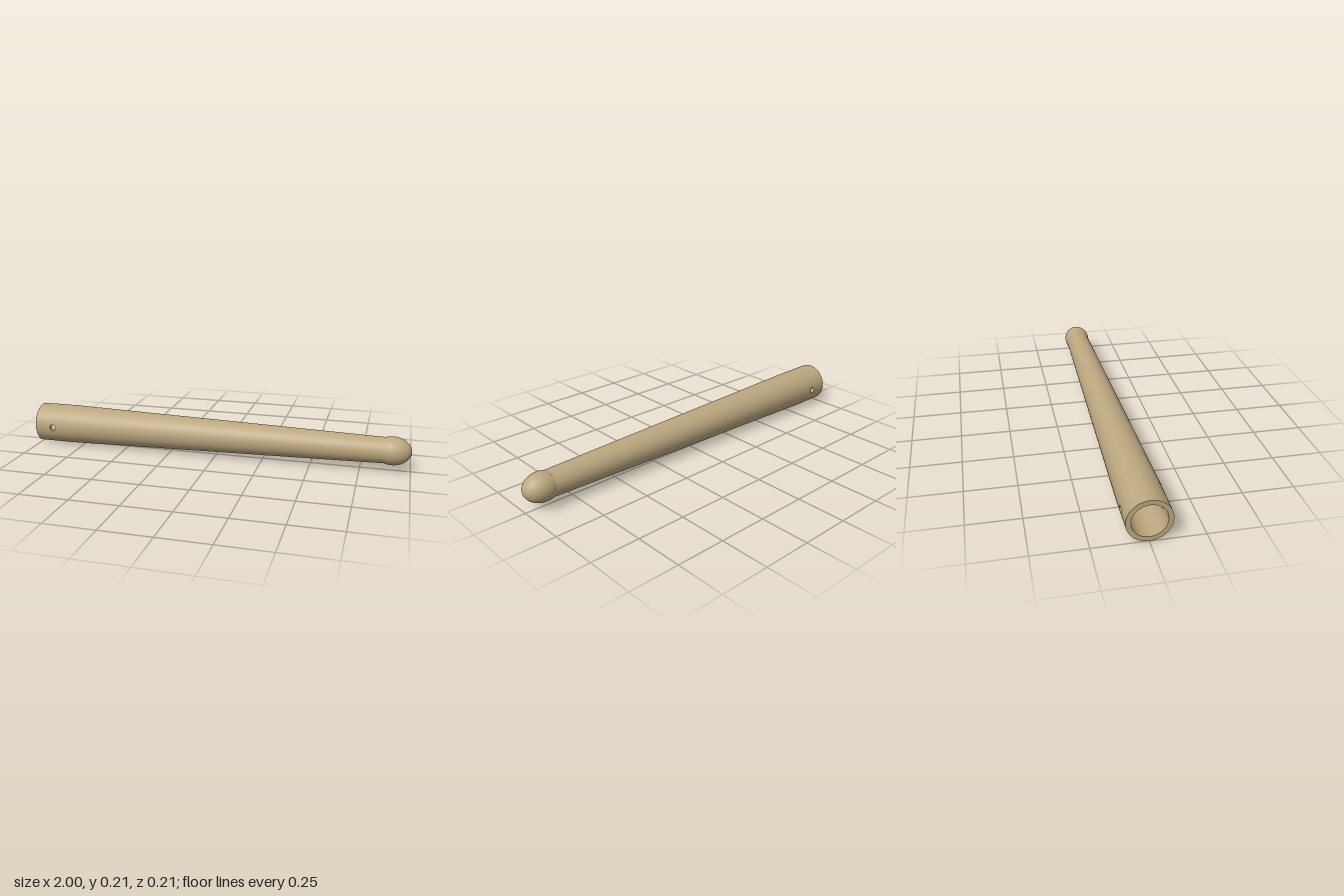
import * as THREE from 'three';

const R = 0.103, BORE = 0.08, HOLE = 0.017;   // collar, bore and cross-hole radii
const COLLAR_X = -0.9, COLLAR_HALF = 0.1;     // collar centre and half length
const SIDE = 24;                              // points per side of a collar patch

export function createModel() {
  const model = new THREE.Group();
  const body = new THREE.Group();
  body.name = 'handle';
  body.position.y = R;
  model.add(body);
  const wood = new THREE.MeshStandardMaterial({ color: 0xbca77f });
  wood.name = 'tan';

  const add = (name, geometry) => {
    const mesh = new THREE.Mesh(geometry, wood);
    mesh.name = name;
    body.add(mesh);
  };

  // Profile of [x, radius] points turned around the x axis
  const turn = (name, points) => {
    const g = new THREE.LatheGeometry(points.map(([x, r]) => new THREE.Vector2(r, x)), SIDE * 2);
    add(name, g.rotateZ(-Math.PI / 2));
  };

  // Long tapered shaft
  turn('shaft', [[-0.8, R], [-0.4, 0.094], [0, 0.0855], [0.4, 0.0765], [0.866, 0.0658]]);

  // Rounded knob at the tip
  const knob = [];
  for (let i = 0; i <= 24; i++) {
    const a = THREE.MathUtils.lerp(Math.asin(-0.039 / 0.095), Math.PI / 2, i / 24);
    knob.push([0.905 + 0.095 * Math.sin(a), i === 24 ? 0 : 0.072 * Math.cos(a)]);
  }
  turn('knob', knob);

  // Open socket end: rim and floor of the bore
  turn('socketRim', [[-1, BORE], [-1, R]]);
  turn('socketFloor', [[-0.8, 0], [-0.8, BORE]]);

  // Collar wall, one half per cross hole
  for (const turnY of [0, Math.PI]) {
    const end = turnY ? 'Back' : 'Front';
    const place = (g) => g.rotateY(turnY).translate(COLLAR_X, 0, 0);
    add('collar' + end, place(wallPatch(R, false)));
    add('bore' + end, place(wallPatch(BORE, true)));
    add('crossHole' + end, place(holeWall()));
  }
  return model;
}

// Point k around the patch: on the unit circle and on the unit square
function around(k) {
  const side = Math.floor(k / SIDE) % 4, t = (k % SIDE) / SIDE;
  const a = -Math.PI / 4 + (k / SIDE) * Math.PI / 2;
  const s = 2 * t - 1;
  const square = [[1, s], [-s, 1], [-1, -s], [s, -1]][side];
  return { circle: [Math.cos(a), Math.sin(a)], square };
}

// Half cylinder with a round hole, in rings from the border to the hole
function wallPatch(radius, inward) {
  const rings = 16;
  return grid(rings, (i, k) => {
    const { circle, square } = around(k);
    const f = i / rings;
    const x = THREE.MathUtils.lerp(square[0] * COLLAR_HALF, circle[0] * HOLE, f);
    const a = THREE.MathUtils.lerp(square[1] * Math.PI / 2, Math.asin(circle[1] * HOLE / radius), f);
    const s = inward ? -1 : 1;
    return [[x, radius * Math.sin(a), radius * Math.cos(a)], [0, s * Math.sin(a), s * Math.cos(a)]];
  }, inward);
}

// Straight wall of a cross hole, from the outer surface to the bore
function holeWall() {
  return grid(1, (i, k) => {
    const [c, s] = around(k).circle;
    const r = i ? BORE : R, y = s * HOLE;
    return [[c * HOLE, y, Math.sqrt(r * r - y * y)], [-c, -s, 0]];
  }, false);
}

// Closed rings of points joined into a surface
function grid(rings, pointAt, flip) {
  const n = SIDE * 4, pos = [], nor = [], index = [];
  for (let i = 0; i <= rings; i++) {
    for (let k = 0; k < n; k++) {
      const [p, d] = pointAt(i, k);
      pos.push(...p);
      nor.push(...d);
      if (i === rings) continue;
      const a = i * n + k, b = i * n + (k + 1) % n, c = a + n, d2 = b + n;
      if (flip) index.push(a, c, b, b, c, d2);
      else index.push(a, b, c, b, d2, c);
    }
  }
  const g = new THREE.BufferGeometry();
  g.setAttribute('position', new THREE.Float32BufferAttribute(pos, 3));
  g.setAttribute('normal', new THREE.Float32BufferAttribute(nor, 3));
  g.setIndex(index);
  return g;
}
